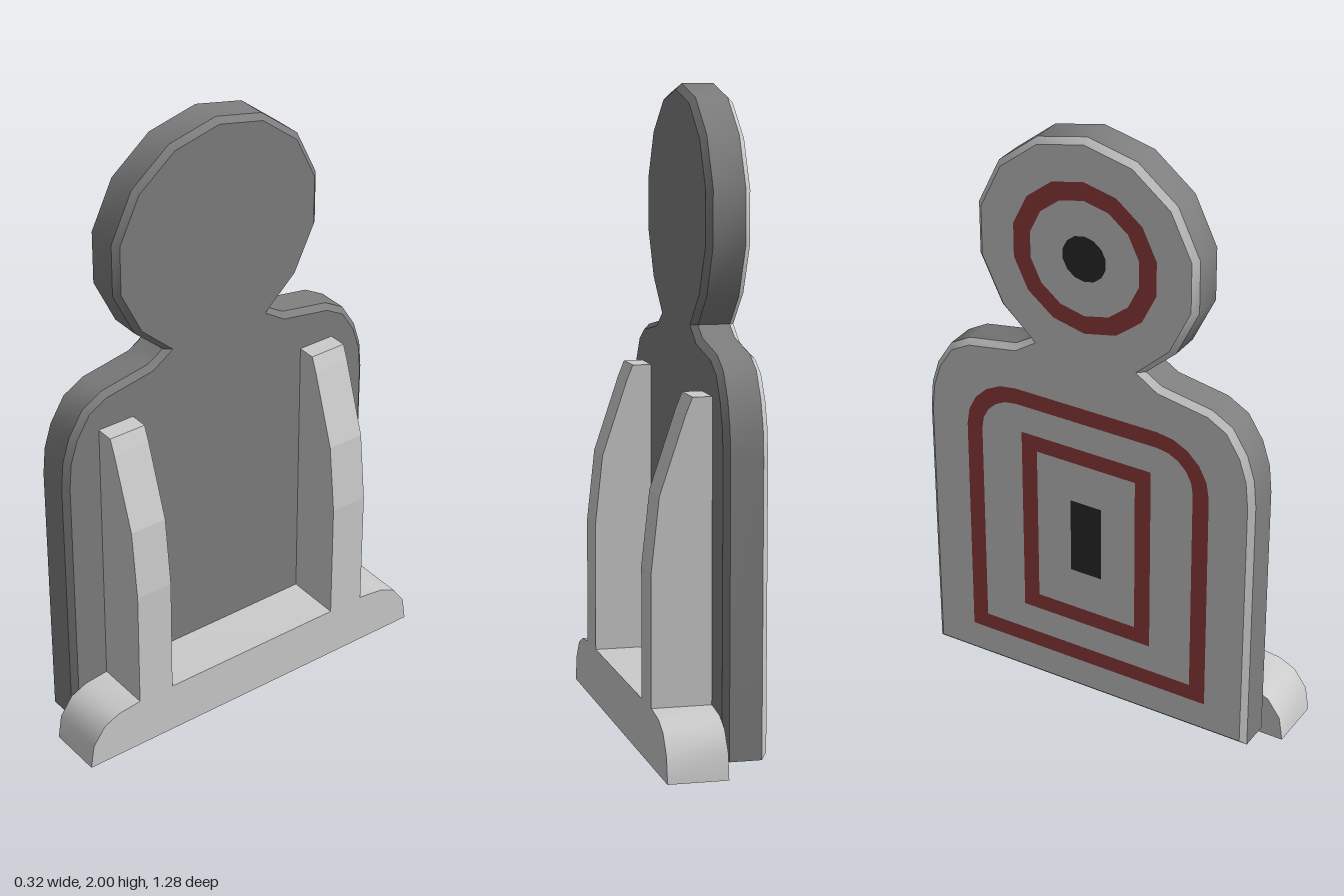
import * as THREE from 'three';
import { toCreasedNormals } from 'three/addons/utils/BufferGeometryUtils.js';

const mat = (color) => new THREE.MeshStandardMaterial({ color });
const grey = mat(0xcccccc), dark = mat(0x7e7e7e), red = mat(0x963c3c), black = mat(0x2c2c2c);

const BACK = -0.025, FACE = -0.16;

function addMesh(parent, name, geometry, material) {
  const mesh = new THREE.Mesh(geometry, material);
  mesh.name = name;
  parent.add(mesh);
}

const polygon = (points) => new THREE.Shape(points.map(([a, b]) => new THREE.Vector2(a, b)));

// Mirrors a half outline, listed bottom to top, across the vertical axis
function mirrored(half) {
  const other = half.filter(([a]) => a > 0).map(([a, b]) => [-a, b]).reverse();
  return polygon([...half, ...other]);
}

// Shape drawn in (z, y), extruded towards -x starting at xStart
function extrudeAcross(shape, xStart, depth, bevel = 0) {
  const g = new THREE.ExtrudeGeometry(shape, {
    depth: depth - 2 * bevel, bevelEnabled: bevel > 0, bevelThickness: bevel,
    bevelSize: bevel, bevelOffset: -bevel, bevelSegments: 1,
  });
  g.rotateY(-Math.PI / 2).translate(xStart - bevel, 0, 0);
  return toCreasedNormals(g, 0.6);
}

// Keeps the triangles that do (or do not) face the target side, -x
function pickFaces(geometry, facing) {
  const p = geometry.attributes.position, n = geometry.attributes.normal;
  const pos = [], nor = [];
  const tri = new THREE.Triangle(), normal = new THREE.Vector3();
  for (let i = 0; i < p.count; i += 3) {
    tri.setFromAttributeAndIndices(p, i, i + 1, i + 2);
    tri.getNormal(normal);
    if ((normal.x < -0.3) !== facing) continue;
    for (let j = i; j < i + 3; j++) {
      pos.push(p.getX(j), p.getY(j), p.getZ(j));
      nor.push(n.getX(j), n.getY(j), n.getZ(j));
    }
  }
  const out = new THREE.BufferGeometry();
  out.setAttribute('position', new THREE.Float32BufferAttribute(pos, 3));
  out.setAttribute('normal', new THREE.Float32BufferAttribute(nor, 3));
  return out;
}

// Rectangle with optional round upper corners
function panel(half, bottom, top, r = 0) {
  const pts = [[half, bottom]];
  const steps = r ? 5 : 0;
  for (let i = 0; i <= steps; i++) {
    const a = r ? (i / steps) * Math.PI / 2 : 0;
    pts.push(r ? [half - r + r * Math.cos(a), top - r + r * Math.sin(a)] : [half, top]);
  }
  return mirrored(pts);
}

const SIDES = 14, HEAD_Y = 1.615;
function disc(r) {
  return polygon(Array.from({ length: SIDES }, (_, i) => {
    const a = (i / SIDES) * Math.PI * 2;
    return [r * Math.sin(a), HEAD_Y + r * Math.cos(a)];
  }));
}

// Flat painted marking just proud of the target face
function addMarking(parent, name, material, outer, inner) {
  if (inner) outer.holes.push(inner);
  const g = new THREE.ShapeGeometry(outer).rotateY(-Math.PI / 2).translate(FACE - 0.002, 0, 0);
  addMesh(parent, name, g, material);
}

export function createModel() {
  const group = new THREE.Group();
  group.name = 'standingTarget';

  // Board: torso and shoulders, then the faceted head
  const outline = [
    [0.575, 0.035], [0.578, 0.93], [0.57, 1.02], [0.545, 1.10], [0.495, 1.18],
    [0.425, 1.22], [0.255, 1.25], [0.2, 1.284],
  ];
  for (let i = 5; i >= 1; i--) {
    const a = (i / SIDES) * Math.PI * 2;
    outline.push([0.385 * Math.sin(a), HEAD_Y + 0.385 * Math.cos(a)]);
  }
  outline.push([0, 2]);
  const board = extrudeAcross(mirrored(outline), BACK, BACK - FACE, 0.018);
  addMesh(group, 'boardBack', pickFaces(board, false), dark);
  addMesh(group, 'boardFace', pickFaces(board, true), grey);

  // Painted rings and bullseyes
  addMarking(group, 'headRing', red, disc(0.25), disc(0.19));
  addMarking(group, 'headBullseye', black, disc(0.075));
  addMarking(group, 'outerBodyRing', red, panel(0.43, 0.15, 1.10, 0.18), panel(0.375, 0.205, 1.045, 0.125));
  addMarking(group, 'innerBodyRing', red, panel(0.23, 0.30, 0.95), panel(0.175, 0.355, 0.895));
  addMarking(group, 'bodyBullseye', black, panel(0.055, 0.495, 0.755));

  // Foot with rounded ends
  const foot = mirrored([[0.64, 0], [0.628, 0.08], [0.585, 0.14], [0.53, 0.165], [0.45, 0.175]]);
  addMesh(group, 'foot', extrudeAcross(foot, 0.16, 0.16 - BACK), grey);

  // Two tapered braces behind the board
  const brace = polygon([
    [BACK, 0.17], [0.16, 0.17], [0.16, 0.58], [0.135, 0.81],
    [0.055, 1.05], [0.035, 1.10], [BACK, 1.10],
  ]);
  for (const [name, z] of [['frontBrace', 0.325], ['rearBrace', -0.44]]) {
    const g = new THREE.ExtrudeGeometry(brace, { depth: 0.125, bevelEnabled: false });
    addMesh(group, name, g.translate(0, 0, z), grey);
  }
  return group;
}
